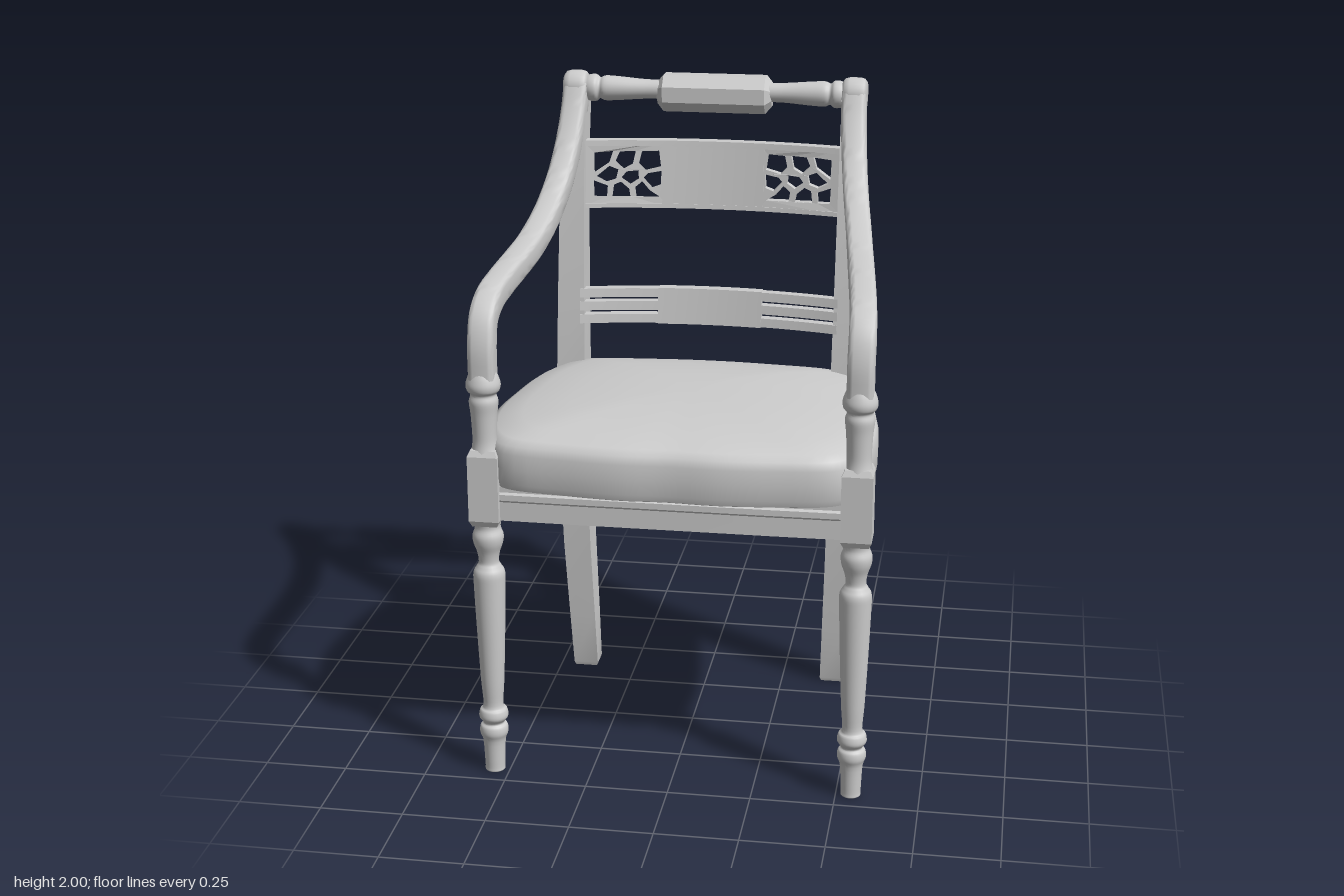
import * as THREE from 'three';
import { toCreasedNormals } from 'three/addons/utils/BufferGeometryUtils.js';

const V = (x, y, z) => new THREE.Vector3(x, y, z);
const V2 = (x, y) => new THREE.Vector2(x, y);

// Skin a stack of equal-length rings (counter-clockwise around the direction of travel)
function loft(rings, { cap = true, crease = 0.6 } = {}) {
  const all = rings.slice();
  if (cap) {
    const flat = r => {
      const c = r.reduce((s, p) => s.add(p), V(0, 0, 0)).divideScalar(r.length);
      return r.map(() => c);
    };
    all.unshift(flat(rings[0]));
    all.push(flat(rings[rings.length - 1]));
  } else all.push(rings[0]); // closed profile
  const n = rings[0].length, pos = [], idx = [];
  all.forEach(r => r.forEach(p => pos.push(p.x, p.y, p.z)));
  for (let i = 0; i < all.length - 1; i++) {
    const first = cap && i === 0, last = cap && i === all.length - 2;
    for (let j = 0; j < n; j++) {
      const a = i * n + j, b = i * n + (j + 1) % n;
      if (!first) idx.push(a, b, b + n);
      if (!last) idx.push(a, b + n, a + n);
    }
  }
  const g = new THREE.BufferGeometry();
  g.setAttribute('position', new THREE.Float32BufferAttribute(pos, 3));
  g.setIndex(idx);
  g.computeVertexNormals();
  return toCreasedNormals(g, crease);
}

// Bow a piece backwards between the stiles and lean it with them
function bend(g, y, z, bow, lean) {
  const p = g.attributes.position;
  for (let i = 0; i < p.count; i++) {
    const x = p.getX(i), py = p.getY(i);
    p.setZ(i, p.getZ(i) + z - bow * (1 - (x / 0.4) ** 2) - lean * (py - y));
  }
  g.computeVertexNormals();
  return g;
}

function bentBox(x0, x1, y0, y1, depth, ...curve) {
  const g = new THREE.BoxGeometry(x1 - x0, y1 - y0, depth, 10, 1, 1);
  g.translate((x0 + x1) / 2, (y0 + y1) / 2, 0);
  return bend(g, ...curve);
}

const lathe = pts => new THREE.LatheGeometry(
  new THREE.SplineCurve(pts.map(([r, y]) => V2(r, y))).getPoints(pts.length * 4), 24);

// Symmetric closed outline from its right half, listed front to back as x, z
const mirrorLoop = half => [...half, ...half.slice(1, -1).reverse().map(([x, z]) => [-x, z])]
  .map(([x, z]) => V(x, 0, z));
const ring = (pts, s, y) => pts.map(p => V(p.x * s, y, 0.05 + (p.z - 0.05) * s));

export function createModel() {
  const chair = new THREE.Group();
  chair.name = 'armchair';
  const grey = new THREE.MeshStandardMaterial({ color: 0xcccccc });
  grey.name = 'light grey';
  const add = (name, geo, x = 0, y = 0, z = 0) => {
    const m = new THREE.Mesh(geo, grey);
    m.name = name;
    m.position.set(x, y, z);
    chair.add(m);
    return m;
  };

  // Cushion: bowed front, swelling sides, gently curved back
  const cushionCurve = new THREE.CatmullRomCurve3(mirrorLoop([[0, 0.512], [0.15, 0.518], [0.32, 0.503], [0.48, 0.475],
    [0.535, 0.42], [0.573, 0.29], [0.58, 0.15], [0.563, 0], [0.53, -0.18], [0.476, -0.3], [0.43, -0.36],
    [0.2, -0.395], [0, -0.405]]), true);
  const cushionLine = cushionCurve.getPoints(96).slice(0, 96);
  add('cushion', loft([[0.95, 0.928], [0.985, 0.935], [0.998, 0.955], [1, 1.0], [1, 1.045], [0.985, 1.07],
    [0.945, 1.086], [0.82, 1.104], [0.6, 1.122], [0.3, 1.134]].map(([s, y]) => ring(cushionLine, s, y)), { crease: 0.8 }));

  // Seat rails: thin boards with a moulded face, and the flat panel set high between them
  const railLine = mirrorLoop([[0, 0.462], [0.3, 0.462], [0.54, 0.46], [0.562, 0.3], [0.564, 0.15], [0.55, 0],
    [0.524, -0.16], [0.485, -0.28], [0.455, -0.365], [0.3, -0.382], [0.15, -0.397], [0, -0.403]]);
  add('seatRails', loft([[0.99, 0.83], [0.99, 0.888], [1, 0.894], [1, 0.912], [0.985, 0.918], [0.985, 0.935],
    [0.93, 0.935], [0.93, 0.83]].map(([s, y]) => ring(railLine, s, y)), { cap: false, crease: 0.5 }));
  add('seatPanel', loft([ring(railLine, 0.95, 0.918), ring(railLine, 0.95, 0.94)]));

  // Turned profiles, as radius and height
  const legProfile = [[0.0, 0.0], [0.028, 0.002], [0.03, 0.02], [0.034, 0.1], [0.043, 0.13], [0.041, 0.152],
    [0.032, 0.163], [0.044, 0.182], [0.041, 0.205], [0.03, 0.222], [0.035, 0.3], [0.042, 0.46],
    [0.047, 0.61], [0.047, 0.655], [0.037, 0.675], [0.03, 0.69], [0.034, 0.72], [0.044, 0.75],
    [0.046, 0.775], [0.038, 0.8], [0.042, 0.825]];
  const supportProfile = [[0.042, 1.035], [0.037, 1.06], [0.036, 1.09], [0.039, 1.15], [0.043, 1.19],
    [0.038, 1.212], [0.048, 1.225], [0.051, 1.242], [0.046, 1.262], [0.038, 1.28]];

  // Arm path: from the front support up to the crest
  const armPath = new THREE.CatmullRomCurve3([[0.545, 1.26, 0.432], [0.545, 1.36, 0.43], [0.545, 1.432, 0.402],
    [0.54, 1.473, 0.34], [0.53, 1.495, 0.245], [0.514, 1.518, 0.1], [0.5, 1.541, -0.02], [0.48, 1.6, -0.17],
    [0.461, 1.685, -0.28], [0.449, 1.77, -0.35], [0.44, 1.87, -0.41], [0.437, 1.95, -0.447]]
    .map(p => V(...p)));

  // Back stile sections: height, front z, back z, centre x, width
  const stile = [[0, -0.342, -0.406, 0.416, 0.072], [0.012, -0.338, -0.409, 0.416, 0.08],
    [0.2, -0.324, -0.408, 0.423, 0.084], [0.45, -0.304, -0.402, 0.432, 0.088], [0.8, -0.29, -0.395, 0.44, 0.092],
    [1.05, -0.29, -0.394, 0.44, 0.09], [1.3, -0.315, -0.41, 0.44, 0.085], [1.6, -0.348, -0.436, 0.439, 0.078],
    [1.8, -0.378, -0.468, 0.438, 0.074], [1.94, -0.41, -0.503, 0.437, 0.072]];

  // Fretwork openings in the unit square, inner edge at u = 0
  const holes = [
    [[0.02, 0.66], [0.24, 0.58], [0.34, 0.72], [0.3, 0.965], [0.05, 0.98]],
    [[0.39, 0.975], [0.43, 0.71], [0.56, 0.61], [0.68, 0.77], [0.62, 0.96]],
    [[0.72, 0.97], [0.77, 0.74], [0.98, 0.54], [0.99, 0.94]],
    [[0.01, 0.56], [0.02, 0.28], [0.14, 0.22], [0.27, 0.42], [0.21, 0.51]],
    [[0.35, 0.57], [0.34, 0.4], [0.46, 0.29], [0.59, 0.42], [0.52, 0.545]],
    [[0.64, 0.585], [0.67, 0.4], [0.8, 0.34], [0.95, 0.45], [0.77, 0.66]],
    [[0.03, 0.02], [0.37, 0.03], [0.39, 0.22], [0.29, 0.34], [0.18, 0.155]],
    [[0.46, 0.025], [0.72, 0.035], [0.7, 0.27], [0.6, 0.33], [0.48, 0.185]],
    [[0.79, 0.25], [0.8, 0.028], [0.98, 0.04], [0.99, 0.36]],
  ];
  const upper = [1.68, -0.4, 0.043, 0.12], lower = [1.27, -0.326, 0.05, 0.12]; // bend of each back rail

  for (const [side, label] of [[1, 'left'], [-1, 'right']]) {
    const x = side * 0.545;
    add(label + 'FrontLeg', lathe(legProfile), x, 0, 0.43);
    add(label + 'ArmSupport', lathe(supportProfile), x, 0, 0.432);

    // Square block joining leg, rails and arm support, with chamfered ends
    const sq = (h, y) => [[-1, 1], [1, 1], [1, -1], [-1, -1]].map(([a, b]) => V(x + a * h, y, 0.432 + b * h));
    add(label + 'FrontBlock', loft([sq(0.037, 0.812), sq(0.045, 0.83), sq(0.045, 1.03), sq(0.037, 1.048)], { crease: 0.3 }));

    // Arm: rounded square section swept along the path
    const rings = [];
    for (let i = 0; i <= 48; i++) {
      const p = armPath.getPoint(i / 48), t = armPath.getTangent(i / 48);
      const n = t.clone().cross(V(1, 0, 0)).normalize();
      rings.push(Array.from({ length: 24 }, (_, k) => {
        const a = k / 24 * Math.PI * 2, c = Math.cos(a), s = Math.sin(a);
        const u = Math.sign(c) * Math.abs(c) ** 0.45 * 0.039, v = Math.sign(s) * Math.abs(s) ** 0.45 * 0.039;
        return V(side * p.x + u, p.y + n.y * v, p.z + n.z * v);
      }));
    }
    add(label + 'Arm', loft(rings, { crease: 0.9 }));

    // Back leg and stile in one piece
    add(label + 'BackStile', loft(stile.map(([y, zf, zb, cx, w]) =>
      [[-1, zf], [1, zf], [1, zb], [-1, zb]].map(([s, z]) => V(side * cx + s * w / 2, y, z)))));

    // Round scroll with softened rims at the top of the stile
    const rim = [[0, -0.038], [0.036, -0.038], [0.046, -0.03], [0.05, -0.016], [0.05, 0.016], [0.046, 0.03], [0.036, 0.038], [0, 0.038]];
    const scroll = new THREE.LatheGeometry(rim.map(([r, y]) => V2(r, y)), 24);
    add(label + 'Scroll', scroll.rotateZ(Math.PI / 2), side * 0.438, 1.948, -0.455);

    // Pierced fretwork end of the upper back panel
    const fx = u => side * (0.162 + 0.215 * u), fy = v => 1.607 + 0.15 * v;
    const fret = new THREE.Shape([[0.14, 1.578], [0.41, 1.578], [0.41, 1.785], [0.14, 1.785]].map(([a, b]) => V2(side * a, b)));
    fret.holes = holes.map(h => new THREE.Path(h.map(([u, v]) => V2(fx(u), fy(v)))));
    const fretGeo = new THREE.ExtrudeGeometry(fret, { depth: 0.028, bevelEnabled: false }).translate(0, 0, -0.014);
    add(label + 'Fretwork', bend(fretGeo, ...upper));

    // Reeded bars of the lower back rail
    const [a, b] = side > 0 ? [0.15, 0.41] : [-0.41, -0.15];
    for (const y of [1.229, 1.27, 1.311]) {
      add(label + 'ReededBar', bentBox(a, b, y - 0.014, y + 0.014, 0.032, ...lower));
    }
  }

  // Solid centres of the two back rails, and the raised borders of the upper one
  add('upperBackPanel', bentBox(-0.16, 0.16, 1.578, 1.785, 0.036, ...upper));
  add('upperBackBorder', bentBox(-0.41, 0.41, 1.769, 1.787, 0.038, ...upper));
  add('lowerBackBorder', bentBox(-0.41, 0.41, 1.576, 1.59, 0.038, ...upper));
  add('lowerBackPanel', bentBox(-0.165, 0.165, 1.213, 1.327, 0.036, ...lower));

  // Turned crest rail with a faceted tablet in the middle
  const crest = [[0.03, 0.14], [0.03, 0.2], [0.032, 0.24], [0.037, 0.3], [0.039, 0.345], [0.033, 0.362],
    [0.042, 0.375], [0.042, 0.392], [0.036, 0.41]];
  for (const s of [1, -1]) {
    const rail = add(s > 0 ? 'leftCrest' : 'rightCrest', lathe(crest), 0, 1.944, -0.455);
    rail.rotation.z = -s * Math.PI / 2;
  }
  const oct = (x, r) => Array.from({ length: 8 }, (_, k) => {
    const a = (k + 0.5) * Math.PI / 4;
    return V(x, 1.935 + r * Math.cos(a), -0.465 + r * Math.sin(a));
  });
  add('crestTablet', loft([oct(-0.18, 0.038), oct(-0.16, 0.062), oct(0.16, 0.062), oct(0.18, 0.038)], { crease: 0.3 }));

  return chair;
}
